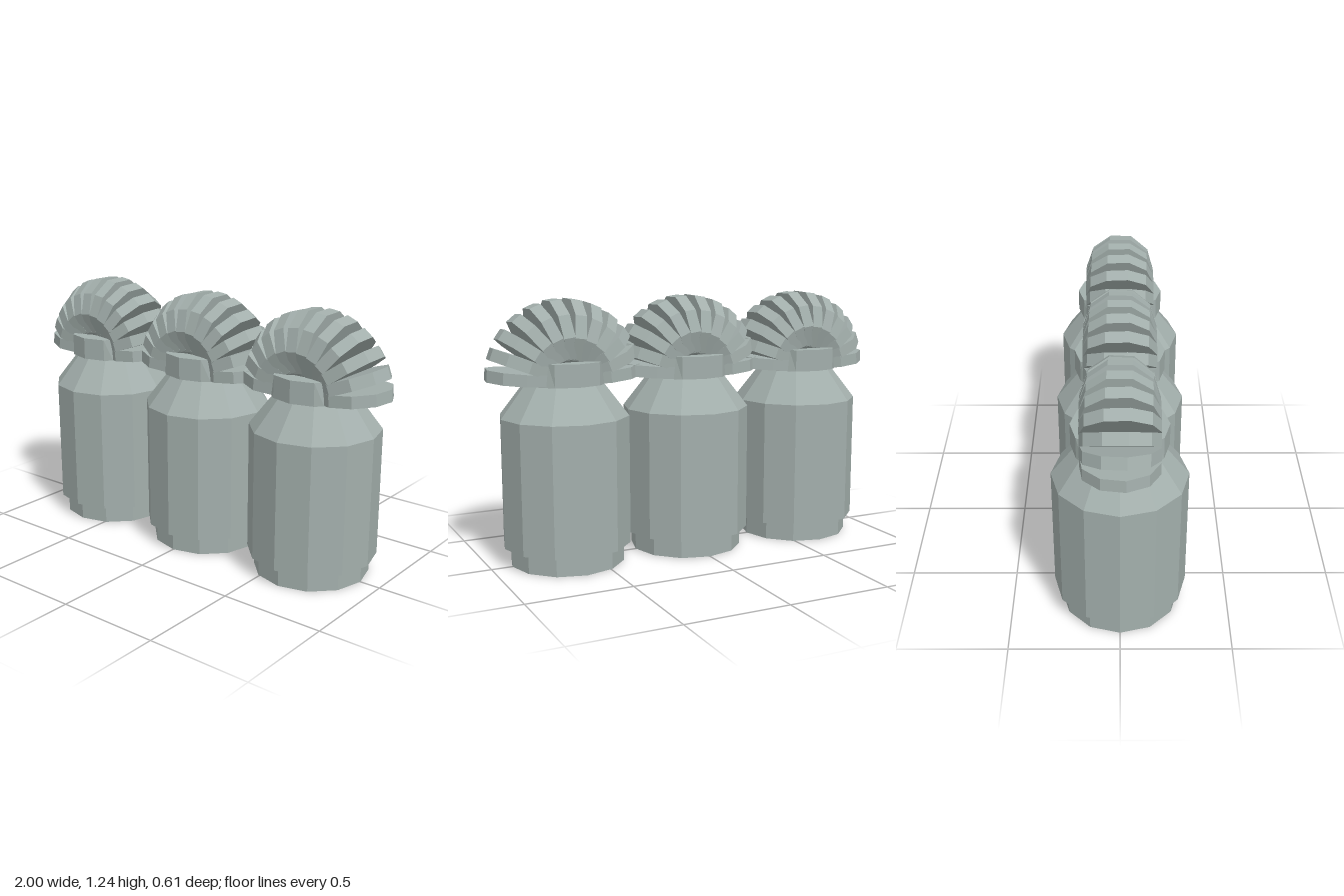
import * as THREE from 'three';

const metal = new THREE.MeshStandardMaterial({ color: 0xa3afac, flatShading: true });
metal.name = 'grey green metal';

const SPACING = 0.628;
const ARCH_Y = 0.873;

function add(parent, name, geometry) {
  const mesh = new THREE.Mesh(geometry, metal);
  mesh.name = name;
  parent.add(mesh);
  return mesh;
}

// Twelve-sided drum section between two heights
function drum(parent, name, rBottom, rTop, y0, y1) {
  add(parent, name, new THREE.CylinderGeometry(rTop, rBottom, y1 - y0, 12)).position.y = (y0 + y1) / 2;
}

// Crescent plate standing on the rim, narrowing slightly to the top
function collarGeometry() {
  const shape = new THREE.Shape([
    [-0.14, -0.13], [-0.14, -0.155], [-0.107, -0.186], [0, -0.215],
    [0.107, -0.186], [0.14, -0.155], [0.14, -0.13],
  ].map(([x, y]) => new THREE.Vector2(x, y)));
  const geo = new THREE.ExtrudeGeometry(shape, { depth: 0.105, bevelEnabled: false });
  geo.rotateX(-Math.PI / 2);
  const p = geo.attributes.position;
  for (let i = 0; i < p.count; i++) {
    if (p.getY(i) > 0.05 && Math.abs(p.getX(i)) > 0.12) p.setX(i, Math.sign(p.getX(i)) * 0.127);
  }
  geo.computeVertexNormals();
  return geo;
}

// Arch of ten-sided discs, twisting slightly from one end to the other
function ribbedArch() {
  const arch = new THREE.Group();
  arch.name = 'ribbedArch';
  const count = 12, end = THREE.MathUtils.degToRad(85);
  for (let i = 0; i < count; i++) {
    const angle = -end + (2 * end * i) / (count - 1);
    const geo = new THREE.CylinderGeometry(0.173, 0.173, 0.055, 10);
    geo.rotateZ(Math.PI / 2);
    geo.rotateX(angle * 0.115);
    geo.translate(0, 0.2, 0);
    add(arch, 'rib', geo).rotation.z = -angle;
  }
  arch.position.y = ARCH_Y;
  return arch;
}

function canister() {
  const unit = new THREE.Group();
  unit.name = 'canister';
  drum(unit, 'base', 0.272, 0.272, 0, 0.09);
  drum(unit, 'body', 0.305, 0.305, 0.09, 0.7);
  drum(unit, 'shoulder', 0.305, 0.185, 0.7, 0.855);
  drum(unit, 'rim', 0.213, 0.213, 0.855, 0.872);
  // Front and back collar plates
  for (const turn of [0, Math.PI]) {
    const collar = add(unit, 'collar', collarGeometry());
    collar.position.y = 0.856;
    collar.rotation.y = turn;
  }
  unit.add(ribbedArch());
  return unit;
}

export function createModel() {
  const model = new THREE.Group();
  model.name = 'canisterRow';
  for (const i of [-1, 0, 1]) {
    const unit = canister();
    unit.position.x = i * SPACING;
    model.add(unit);
  }
  return model;
}
